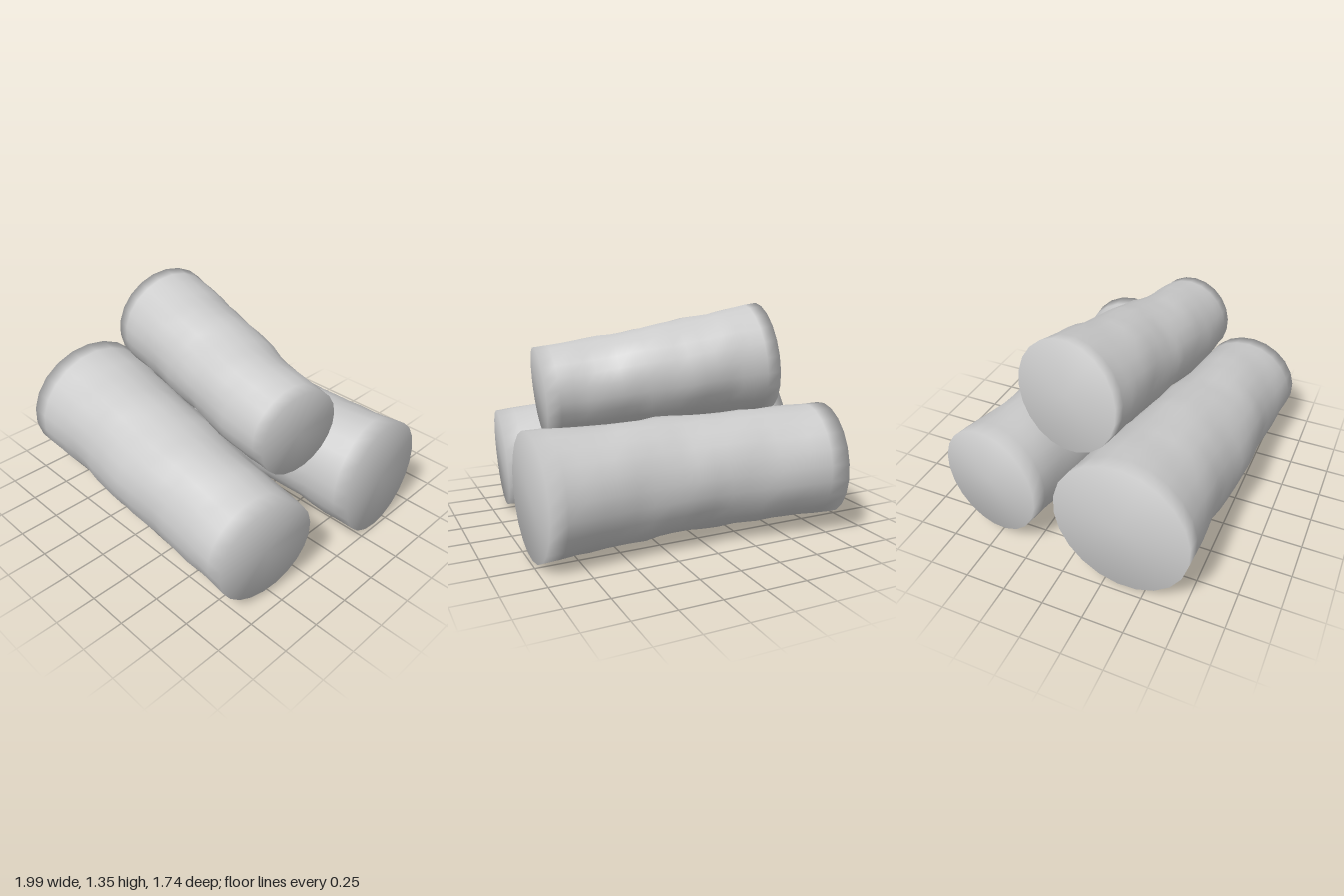
import * as THREE from 'three';

const SIDES = 22, RINGS = 18;
const material = new THREE.MeshStandardMaterial({ color: 0xcccccc });

// Gentle bark unevenness, fading out at the sawn ends
function bark(t, a, seed) {
  const fade = Math.min(1, Math.sin(Math.PI * t) * 2.5);
  return 1 + fade * (0.012 * Math.sin(3 * a + 17 * t + seed)
    + 0.01 * Math.sin(5 * a - 29 * t + seed * 2.3)
    + 0.006 * Math.sin(2 * a + 47 * t + seed * 1.7));
}

// Each station is [x, y, z, vertical radius, sideways radius] along the log
function makeLog(name, stations, seed) {
  const path = new THREE.CatmullRomCurve3(stations.map(s => new THREE.Vector3(s[0], s[1], s[2])));
  const radii = new THREE.CatmullRomCurve3(stations.map(s => new THREE.Vector3(s[3], s[4], 0)));
  const positions = [], index = [];
  const up = new THREE.Vector3(), side = new THREE.Vector3(), p = new THREE.Vector3();

  // Rings square to the path
  for (let i = 0; i <= RINGS; i++) {
    const t = i / RINGS;
    const c = path.getPoint(t), dir = path.getTangent(t), r = radii.getPoint(t);
    side.crossVectors(dir, THREE.Object3D.DEFAULT_UP).normalize();
    up.crossVectors(side, dir).normalize();
    for (let j = 0; j < SIDES; j++) {
      const a = (j / SIDES) * Math.PI * 2, k = bark(t, a, seed);
      p.copy(c).addScaledVector(up, Math.cos(a) * r.x * k).addScaledVector(side, Math.sin(a) * r.y * k);
      positions.push(p.x, p.y, p.z);
    }
  }
  // Side faces
  for (let i = 0; i < RINGS; i++) {
    for (let j = 0; j < SIDES; j++) {
      const a = i * SIDES + j, b = i * SIDES + (j + 1) % SIDES;
      index.push(a, b, a + SIDES, b, b + SIDES, a + SIDES);
    }
  }
  // Flat end caps share the rim so the shading rolls over the edge
  const first = (RINGS + 1) * SIDES, last = RINGS * SIDES;
  for (const t of [0, 1]) positions.push(...path.getPoint(t).toArray());
  for (let j = 0; j < SIDES; j++) {
    const n = (j + 1) % SIDES;
    index.push(first, n, j, first + 1, last + j, last + n);
  }

  const geometry = new THREE.BufferGeometry();
  geometry.setAttribute('position', new THREE.Float32BufferAttribute(positions, 3));
  geometry.setIndex(index);
  geometry.computeVertexNormals();
  const mesh = new THREE.Mesh(geometry, material);
  mesh.name = name;
  return mesh;
}

export function createModel() {
  const group = new THREE.Group();
  group.name = 'logPile';
  group.add(
    makeLog('frontLog', [
      [-0.95, 0.44, 0.345, 0.41, 0.43],
      [-0.48, 0.41, 0.385, 0.395, 0.39],
      [0, 0.385, 0.45, 0.37, 0.37],
      [0.46, 0.36, 0.50, 0.345, 0.335],
      [0.915, 0.34, 0.55, 0.31, 0.325],
    ], 1),
    makeLog('backLog', [
      [-0.87, 0.41, -0.535, 0.345, 0.34],
      [-0.40, 0.395, -0.45, 0.34, 0.335],
      [0.08, 0.385, -0.395, 0.345, 0.33],
      [0.53, 0.375, -0.39, 0.35, 0.335],
      [0.985, 0.372, -0.40, 0.37, 0.345],
    ], 4),
    makeLog('topLog', [
      [-0.65, 1.005, -0.11, 0.345, 0.34],
      [-0.30, 0.965, -0.045, 0.32, 0.325],
      [0.05, 0.92, 0.015, 0.30, 0.31],
      [0.40, 0.875, 0.095, 0.285, 0.285],
      [0.76, 0.845, 0.14, 0.27, 0.265],
    ], 7),
  );
  return group;
}
